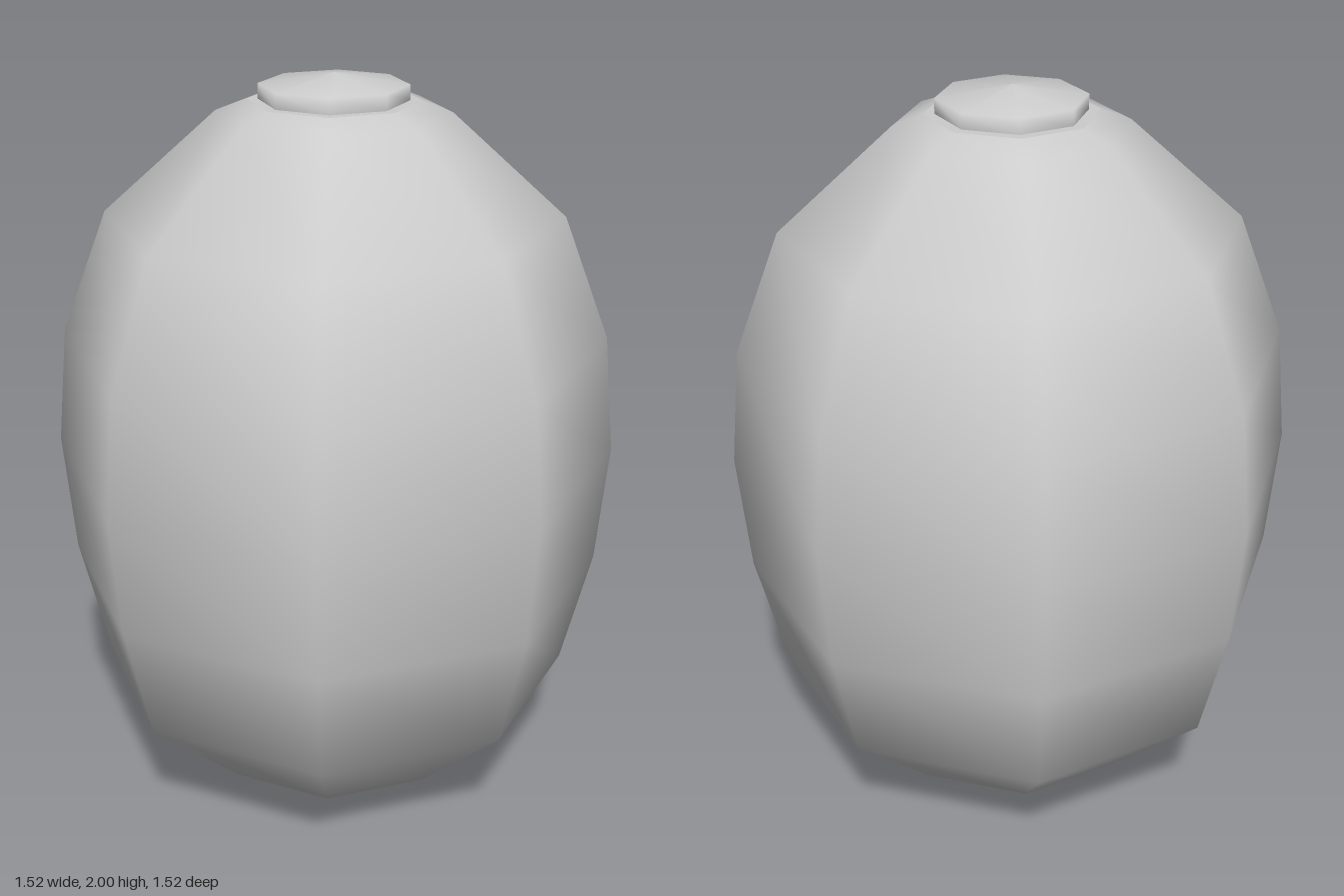
import * as THREE from 'three';

const SIDES = 8;

// Smooth eight-sided solid of revolution from [radius, height] pairs
function turned(name, profile) {
  const points = profile.map(([r, y]) => new THREE.Vector2(r, y));
  const material = new THREE.MeshStandardMaterial({ color: 0xcccccc, side: THREE.DoubleSide });
  const mesh = new THREE.Mesh(new THREE.LatheGeometry(points, SIDES), material);
  mesh.name = name;
  return mesh;
}

export function createModel() {
  const model = new THREE.Group();
  model.name = 'roundedVessel';

  // Egg-shaped body, closed to a shallow point underneath
  model.add(turned('body', [
    [0, 0], [0.37, 0.07], [0.65, 0.33], [0.73, 0.65], [0.76, 0.98],
    [0.73, 1.3], [0.605, 1.63], [0.305, 1.9], [0.225, 1.93],
  ]));

  // Narrow ledge around the neck
  model.add(turned('neckLedge', [[0.225, 1.93], [0.19, 1.93]]));

  // Low cap with a shallow peaked top
  model.add(turned('cap', [[0.195, 1.93], [0.195, 1.97], [0, 2]]));

  return model;
}
